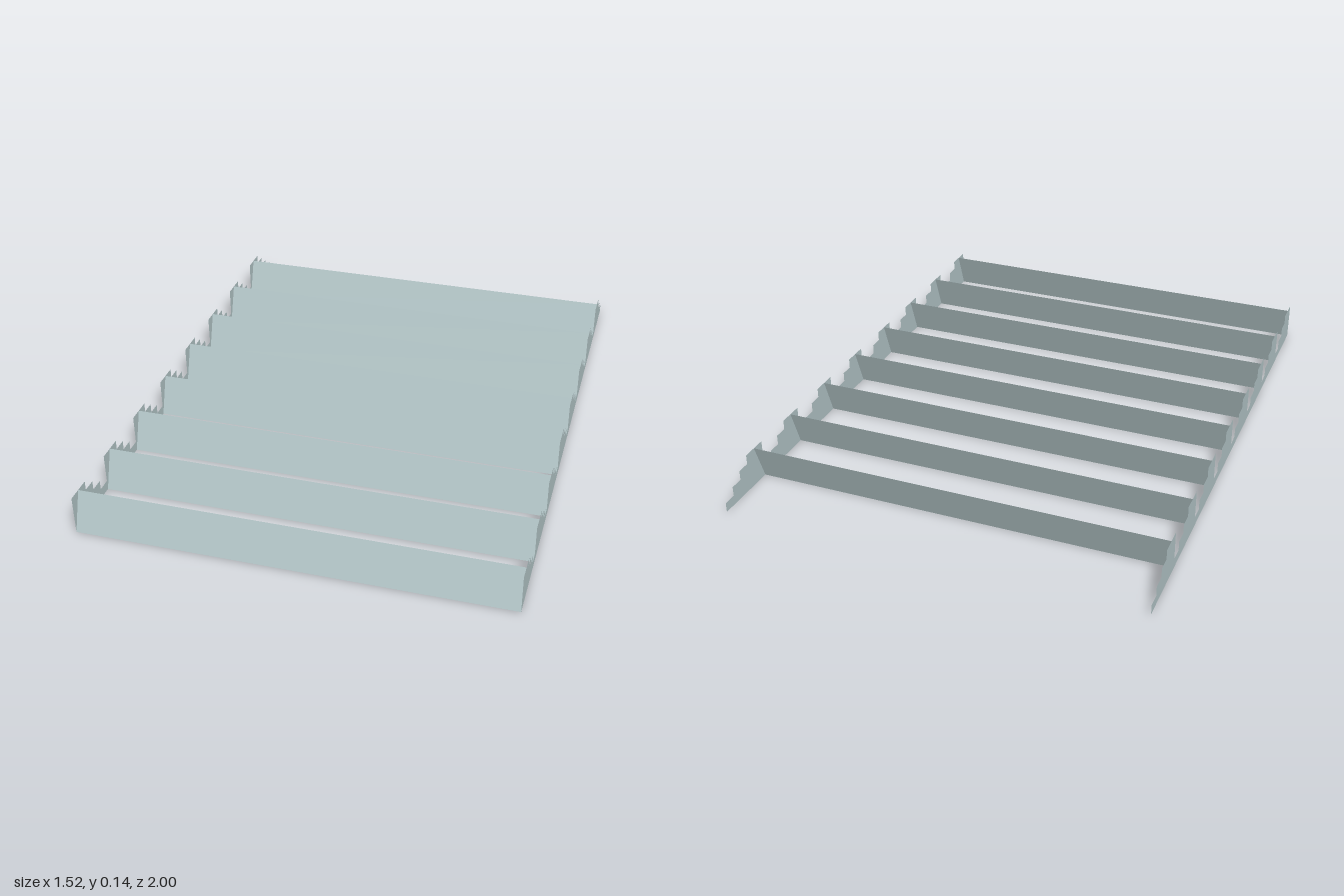
import * as THREE from 'three';

const HALF_WIDTH = 0.758, HEIGHT = 0.14, COUNT = 8, PITCH = 0.25;
const LEAN = 0.05; // how far back each slat's top edge lies

export function createModel() {
  const model = new THREE.Group();
  model.name = 'slattedRack';
  const paleSteel = new THREE.MeshStandardMaterial({ color: 0xb5c8ca, side: THREE.DoubleSide });
  paleSteel.name = 'paleSteel';

  // Stepped side profile, drawn with shape x = -z so it runs front to back
  const profile = new THREE.Shape();
  profile.moveTo(-1, 0);
  for (let i = 0; i < COUNT; i++) {
    const start = -1 + i * PITCH;
    const edges = [0, 0.1, 0.15, 0.2, PITCH];
    for (let s = 0; s < 4; s++) {
      const y = HEIGHT * (1 - s / 4);
      profile.lineTo(start + edges[s], y);
      profile.lineTo(start + edges[s + 1], y);
    }
  }
  profile.lineTo(1, 0);
  const sideGeometry = new THREE.ShapeGeometry(profile).rotateY(Math.PI / 2);

  // Thin sheet on each side; the right one is turned to face outwards
  const leftPanel = new THREE.Mesh(sideGeometry, paleSteel);
  leftPanel.name = 'leftPanel';
  leftPanel.position.x = HALF_WIDTH;
  const rightPanel = new THREE.Mesh(sideGeometry, paleSteel);
  rightPanel.name = 'rightPanel';
  rightPanel.position.x = -HALF_WIDTH;
  rightPanel.scale.x = -1;
  model.add(leftPanel, rightPanel);

  // Slats lean back from the foot of each tooth
  const slatGeometry = new THREE.PlaneGeometry(2 * HALF_WIDTH, Math.hypot(HEIGHT, LEAN));
  slatGeometry.rotateX(-Math.atan2(LEAN, HEIGHT));
  for (let i = 0; i < COUNT; i++) {
    const slat = new THREE.Mesh(slatGeometry, paleSteel);
    slat.name = `slat${i + 1}`;
    slat.position.set(0, HEIGHT / 2, 1 - i * PITCH - LEAN / 2);
    model.add(slat);
  }
  return model;
}
